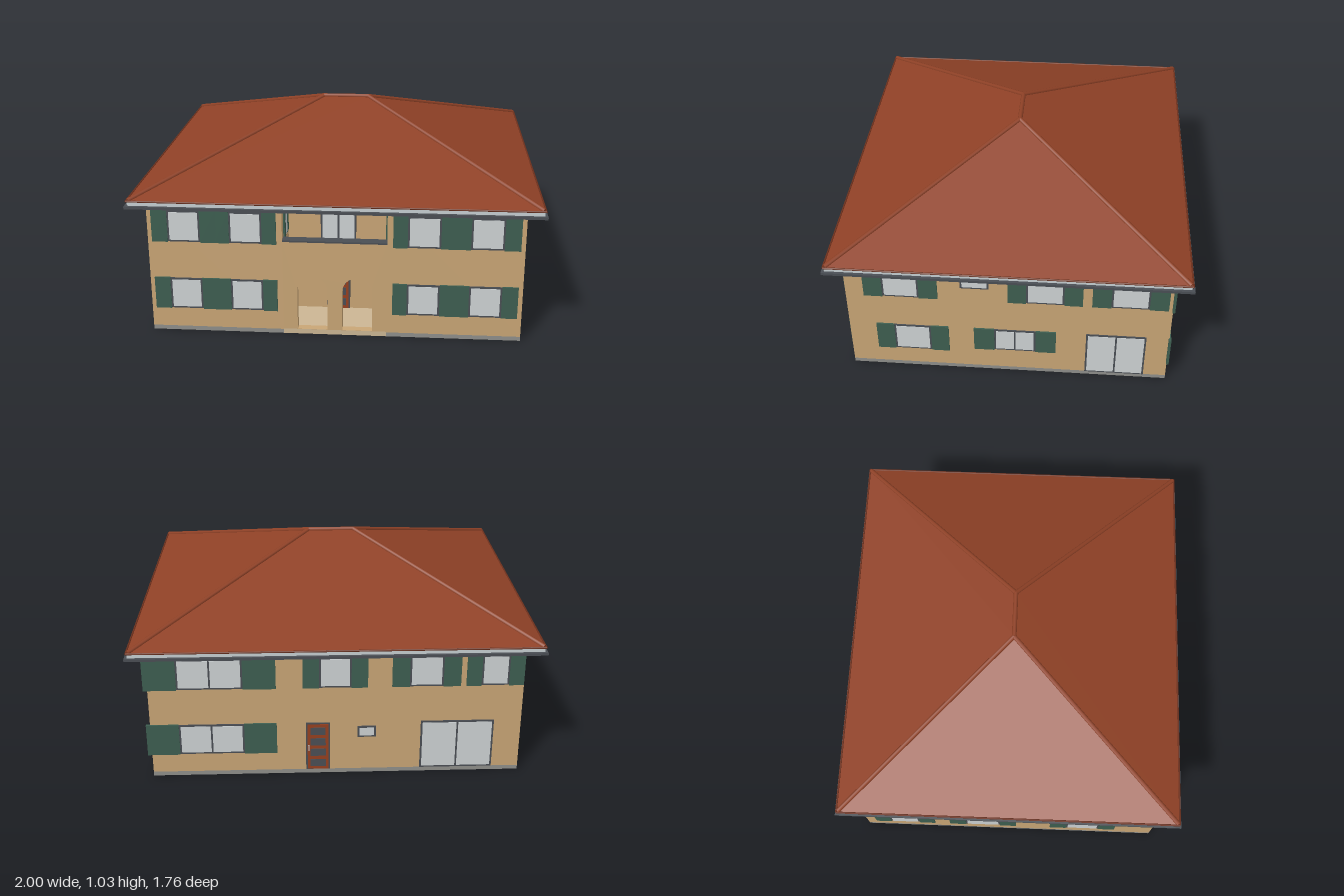
import * as THREE from 'three';

const mat = (name, color) => {
  const m = new THREE.MeshStandardMaterial({ color });
  m.name = name;
  return m;
};

export function createModel() {
  const M = {
    wall: mat('ochre plaster', 0xc8a575),
    roof: mat('terracotta tile', 0x8f4126),
    ridge: mat('dark ridge tile', 0x6e301c),
    shutter: mat('green shutter', 0x3d5e50),
    glass: mat('pale glass', 0xcdd2d3),
    frame: mat('slate trim', 0x4a4e54),
    plinth: mat('grey plinth', 0x8e8e8a),
    porch: mat('light stone', 0xcbb593),
    door: mat('red door', 0x96401f),
    fascia: mat('white fascia', 0xc6cfd2),
  };
  const house = new THREE.Group();
  house.name = 'house';

  const add = (parent, name, geo, material) => {
    const m = new THREE.Mesh(geo, material);
    m.name = name;
    parent.add(m);
    return m;
  };
  // Box given by its limits on each axis
  const box = (parent, name, material, x0, x1, y0, y1, z0, z1) => {
    const m = add(parent, name, new THREE.BoxGeometry(x1 - x0, y1 - y0, z1 - z0), material);
    m.position.set((x0 + x1) / 2, (y0 + y1) / 2, (z0 + z1) / 2);
    return m;
  };

  const HX = 0.915, HZ = 0.8, NX = 0.255, NZ = 0.55;

  // Footprint with a recess for the porch and balcony, raised to a given height
  const footprint = (y0, y1) => {
    const s = new THREE.Shape([
      [-HX, -HZ], [-NX, -HZ], [-NX, -NZ], [NX, -NZ],
      [NX, -HZ], [HX, -HZ], [HX, HZ], [-HX, HZ],
    ].map(([x, y]) => new THREE.Vector2(x, y)));
    const g = new THREE.ExtrudeGeometry(s, { depth: y1 - y0, bevelEnabled: false });
    return g.rotateX(-Math.PI / 2).translate(0, y0, 0);
  };
  add(house, 'plinth', footprint(0, 0.022), M.plinth);
  add(house, 'walls', footprint(0.022, 0.69), M.wall);
  box(house, 'porchFloor', M.porch, -NX, NX, 0, 0.025, NZ, HZ);
  box(house, 'balconyFloor', M.wall, -NX, NX, 0.335, 0.36, NZ, HZ - 0.04);

  // Front screen with two arches, rising to the balcony parapet
  const screen = new THREE.Shape();
  screen.moveTo(-NX, 0.025).lineTo(NX, 0.025).lineTo(NX, 0.495).lineTo(-NX, 0.495).closePath();
  for (const cx of [-0.111, 0.111]) {
    const r = 0.074, hole = new THREE.Path();
    hole.moveTo(cx - r, 0.026).lineTo(cx + r, 0.026).lineTo(cx + r, 0.237);
    hole.absarc(cx, 0.237, r, 0, Math.PI, false);
    hole.closePath();
    screen.holes.push(hole);
  }
  const screenGeo = new THREE.ExtrudeGeometry(screen, { depth: 0.04, bevelEnabled: false, curveSegments: 16 });
  add(house, 'archedScreen', screenGeo.translate(0, 0, HZ - 0.04), M.wall);
  box(house, 'parapetCoping', M.frame, -NX, NX, 0.495, 0.503, HZ - 0.045, HZ + 0.004);

  // A facade is a group whose local +z points out of the wall
  const facade = (name, x, z, angle) => {
    const g = new THREE.Group();
    g.name = name;
    g.position.set(x, 0, z);
    g.rotation.y = angle;
    house.add(g);
    return g;
  };
  const front = facade('frontFacade', 0, HZ, 0);
  const right = facade('plusXFacade', HX, 0, Math.PI / 2);
  const back = facade('backFacade', 0, -HZ, Math.PI);
  const left = facade('minusXFacade', -HX, 0, -Math.PI / 2);
  const recess = facade('recessWall', 0, NZ, 0);

  // Framed window with panes and optional pair of shutters of width sw
  const windowAt = (f, u0, u1, y0, y1, panes = 1, sw = 0) => {
    const g = new THREE.Group(), b = 0.009;
    g.name = 'window';
    f.add(g);
    box(g, 'windowFrame', M.frame, u0, u1, y0, y1, -0.004, 0.005);
    const w = (u1 - u0 - b * (panes + 1)) / panes;
    for (let i = 0; i < panes; i++) {
      const p = u0 + b + i * (w + b);
      box(g, 'pane', M.glass, p, p + w, y0 + b, y1 - b, 0, 0.007);
    }
    if (sw) for (const s of [u0 - sw, u1])
      box(g, 'shutter', M.shutter, s, s + sw, y0 - 0.002, y1 + 0.002, -0.004, 0.008);
  };
  const LOW = [0.125, 0.288], UP = [0.483, 0.645], VENT = [0.56, 0.62];

  // Front: two pairs of windows on each floor
  for (const [y0, y1] of [LOW, UP])
    for (const c of [-0.735, -0.433, 0.433, 0.735])
      windowAt(front, c - 0.08, c + 0.08, y0, y1, 1, c * c > 0.3 ? 0.078 : 0.07);

  // +x side (local u = -z)
  windowAt(right, -0.616, -0.436, ...UP, 1, 0.092);
  windowAt(right, 0.09, 0.275, ...UP, 1, 0.09);
  windowAt(right, 0.502, 0.687, ...UP, 1, 0.092);
  windowAt(right, -0.232, -0.092, ...VENT);
  windowAt(right, -0.573, -0.389, ...LOW, 1, 0.09);
  windowAt(right, -0.07, 0.137, 0.149, 0.288, 2, 0.102);
  windowAt(right, 0.389, 0.687, 0.024, 0.288, 2);

  // Back (local u = -x)
  for (const [y0, y1] of [LOW, UP]) windowAt(back, -0.775, -0.455, y0, y1, 2, 0.16);
  windowAt(back, -0.085, 0.072, ...UP, 1, 0.08);
  windowAt(back, 0.355, 0.52, ...UP, 1, 0.085);
  windowAt(back, 0.705, 0.84, ...UP, 1, 0.073);
  windowAt(back, 0.104, 0.195, 0.205, 0.265);
  windowAt(back, 0.417, 0.78, 0.024, 0.288, 2);

  // -x side (local u = z)
  windowAt(left, 0.385, 0.565, ...UP, 1, 0.09);
  windowAt(left, -0.34, -0.2, ...VENT);
  windowAt(left, -0.08, 0.06, ...VENT);
  windowAt(left, -0.66, -0.5, ...LOW, 1, 0.085);
  windowAt(left, -0.24, -0.05, ...LOW, 1, 0.09);
  windowAt(left, 0.32, 0.5, ...LOW, 1, 0.09);

  // Balcony door and shuttered windows on the recess side walls
  windowAt(recess, -0.09, 0.09, 0.36, 0.64, 2);
  for (const s of [-1, 1]) {
    const side = facade('recessSide', s * NX, 0.675, -s * Math.PI / 2);
    for (const [y0, y1] of [LOW, UP]) windowAt(side, -0.035, 0.035, y0, y1, 1, 0.04);
  }

  // Entrance doors: red leaf with slate panels
  const doorAt = (f, c) => {
    const g = new THREE.Group();
    g.name = 'entranceDoor';
    g.position.x = c;
    f.add(g);
    box(g, 'doorFrame', M.frame, -0.06, 0.06, 0.024, 0.288, -0.004, 0.004);
    box(g, 'doorLeaf', M.door, -0.052, 0.052, 0.026, 0.28, 0, 0.006);
    for (let i = 0; i < 4; i++)
      box(g, 'doorPanel', M.frame, -0.038, 0.038, 0.042 + i * 0.06, 0.082 + i * 0.06, 0, 0.008);
    box(g, 'doorHandle', M.fascia, -0.049, -0.043, 0.135, 0.165, 0.004, 0.014);
  };
  doorAt(recess, 0);
  doorAt(back, -0.092);

  // Eaves: fascia slab with a gutter running round it
  const EX = 0.99, EZ = 0.87, EY = 0.71, RX = 0.12, RY = 1.02;
  box(house, 'fascia', M.fascia, -EX + 0.004, EX - 0.004, 0.684, EY, -EZ + 0.004, EZ - 0.004);
  for (const s of [-1, 1]) {
    box(house, 'gutter', M.frame, -1, 1, 0.674, 0.687, s * 0.865 - 0.015, s * 0.865 + 0.015);
    box(house, 'gutter', M.frame, s * 0.985 - 0.015, s * 0.985 + 0.015, 0.674, 0.687, -0.85, 0.85);
  }

  // Hipped roof: a box whose top is pulled in to the ridge line
  const roofGeo = new THREE.BoxGeometry(2 * EX, RY - EY, 2 * EZ).toNonIndexed();
  const p = roofGeo.attributes.position;
  for (let i = 0; i < p.count; i++) {
    const top = p.getY(i) > 0;
    p.setXYZ(i, top ? Math.sign(p.getX(i)) * RX : p.getX(i), top ? RY : EY, top ? 0 : p.getZ(i));
  }
  roofGeo.computeVertexNormals();
  add(house, 'roof', roofGeo, M.roof);

  // Ridge and hip tiles
  const bar = (name, a, b, r, material) => {
    const d = b.clone().sub(a);
    const m = add(house, name, new THREE.CylinderGeometry(r, r, d.length(), 8), material);
    m.position.copy(a).addScaledVector(d, 0.5);
    m.quaternion.setFromUnitVectors(new THREE.Vector3(0, 1, 0), d.normalize());
  };
  const V = (x, y, z) => new THREE.Vector3(x, y, z);
  bar('ridgeTiles', V(-RX, RY, 0), V(RX, RY, 0), 0.012, M.roof);
  for (const sx of [-1, 1]) {
    for (const sz of [-1, 1])
      bar('hipTiles', V(sx * (EX - 0.008), EY + 0.002, sz * (EZ - 0.008)), V(sx * RX, RY, 0), 0.012, M.roof);
    bar('eaveEdge', V(sx * EX, EY, -EZ), V(sx * EX, EY, EZ), 0.005, M.ridge);
    bar('eaveEdge', V(-EX, EY, sx * EZ), V(EX, EY, sx * EZ), 0.005, M.ridge);
  }
  return house;
}
